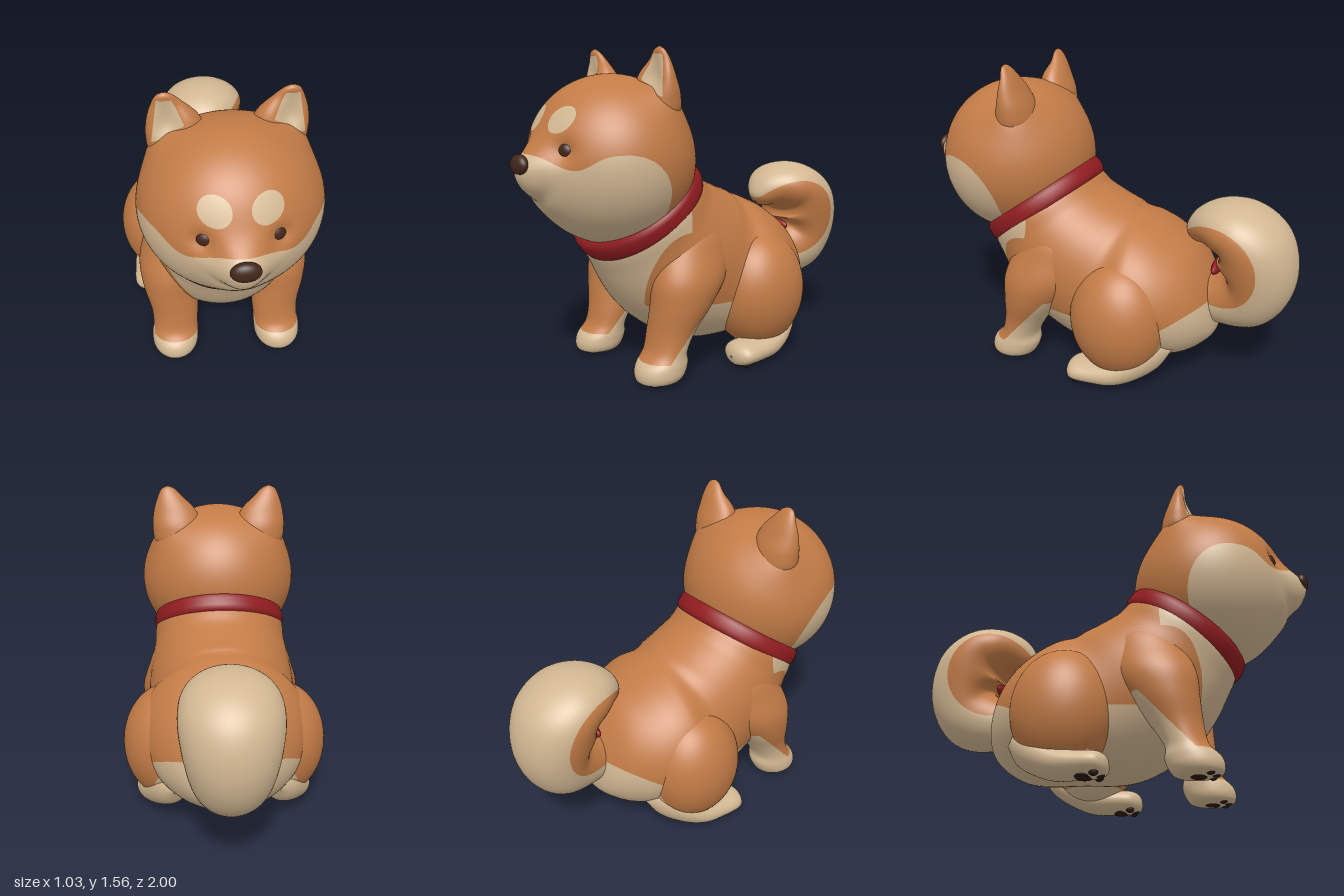
import * as THREE from 'three';
import { mergeVertices } from 'three/addons/utils/BufferGeometryUtils.js';

const flat = (name, color) => {
  const m = new THREE.MeshStandardMaterial({ color });
  m.name = name;
  return m;
};
const gauss = (...d) => Math.exp(-d.reduce((s, v) => s + v * v, 0));

// Smooth skin through elliptical sections [x, y, z, radiusX, radiusUp, lean in degrees]
function loft(sections, steps = 64, sides = 56) {
  const spline = (f) => new THREE.CatmullRomCurve3(sections.map(f), false, 'catmullrom', 0.5);
  const centre = spline((s) => new THREE.Vector3(s[0], s[1], s[2]));
  const size = spline((s) => new THREE.Vector3(s[3], s[4], THREE.MathUtils.degToRad(s[5])));
  const pos = [], index = [];
  for (let i = 0; i <= steps; i++) {
    const c = centre.getPoint(i / steps), r = size.getPoint(i / steps);
    const rx = Math.max(r.x, 0.002), ry = Math.max(r.y, 0.002);
    for (let j = 0; j < sides; j++) {
      const a = (j / sides) * Math.PI * 2, v = ry * Math.sin(a);
      pos.push(c.x + rx * Math.cos(a), c.y + v * Math.cos(r.z), c.z - v * Math.sin(r.z));
      if (i === steps) continue;
      const k = (j + 1) % sides, p = i * sides, q = p + sides;
      index.push(p + j, q + j, p + k, p + k, q + j, q + k);
    }
  }
  const g = new THREE.BufferGeometry();
  g.setAttribute('position', new THREE.Float32BufferAttribute(pos, 3));
  g.setIndex(index);
  g.computeVertexNormals();
  return g;
}

// Seamless ellipsoid
function ellipsoid(x, y, z, rx, ry, rz, w = 40, h = 28) {
  const g = new THREE.SphereGeometry(1, w, h);
  g.deleteAttribute('uv');
  g.deleteAttribute('normal');
  const m = mergeVertices(g, 1e-5);
  m.scale(rx, ry, rz).translate(x, y, z);
  m.computeVertexNormals();
  return m;
}

// Move vertices by a rule
function reshape(g, rule) {
  const p = g.attributes.position, v = new THREE.Vector3();
  for (let i = 0; i < p.count; i++) {
    rule(v.fromBufferAttribute(p, i));
    p.setXYZ(i, v.x, v.y, v.z);
  }
  g.computeVertexNormals();
  return g;
}

// Split a surface along field = 0: negative side is group 0, positive side is group 1
function split(g, field) {
  const P = g.attributes.position, N = g.attributes.normal, I = g.index;
  const pos = [], nor = [], out = new THREE.BufferGeometry();
  const verts = [];
  for (let i = 0; i < P.count; i++) {
    const p = new THREE.Vector3().fromBufferAttribute(P, i);
    verts.push({ p, n: new THREE.Vector3().fromBufferAttribute(N, i), f: field(Math.abs(p.x), p.y, p.z) || 1e-9 });
  }
  [-1, 1].forEach((sign, group) => {
    const start = pos.length / 3;
    for (let i = 0; i < I.count; i += 3) {
      const poly = [];
      for (let k = 0; k < 3; k++) {
        const a = verts[I.getX(i + k)], b = verts[I.getX(i + ((k + 1) % 3))];
        if (a.f * sign > 0) poly.push(a);
        if (a.f * b.f < 0) {
          const t = a.f / (a.f - b.f);
          poly.push({ p: a.p.clone().lerp(b.p, t), n: a.n.clone().lerp(b.n, t).normalize() });
        }
      }
      for (let k = 1; k + 1 < poly.length; k++)
        for (const v of [poly[0], poly[k], poly[k + 1]]) {
          pos.push(v.p.x, v.p.y, v.p.z);
          nor.push(v.n.x, v.n.y, v.n.z);
        }
    }
    out.addGroup(start, pos.length / 3 - start, group);
  });
  out.setAttribute('position', new THREE.Float32BufferAttribute(pos, 3));
  out.setAttribute('normal', new THREE.Float32BufferAttribute(nor, 3));
  return out;
}

export function createModel() {
  const model = new THREE.Group();
  model.name = 'dog';
  const fur = flat('orange fur', 0xc27b46), cream = flat('cream fur', 0xd2b792);
  const red = flat('red collar', 0x921c20), brown = flat('dark brown', 0x43271b), pad = flat('paw pad', 0x2c1813);
  const add = (name, geometry, material) => {
    const m = new THREE.Mesh(geometry, material);
    m.name = name;
    model.add(m);
    return m;
  };
  const addFur = (name, geometry, field) => add(name, split(geometry, field), [fur, cream]);

  // Body from neck to rump, cream on chest, belly and rump
  addFur('body', loft([
    [0, 0.83, 0.37, 0.05, 0.05, 54], [0, 0.82, 0.365, 0.32, 0.29, 54], [0, 0.70, 0.28, 0.36, 0.35, 52],
    [0, 0.56, 0.14, 0.385, 0.40, 42], [0, 0.46, -0.03, 0.39, 0.40, 22], [0, 0.445, -0.22, 0.43, 0.36, 5],
    [0, 0.43, -0.4, 0.38, 0.33, -8], [0, 0.43, -0.53, 0.265, 0.25, -12], [0, 0.41, -0.595, 0.14, 0.14, -12],
    [0, 0.41, -0.615, 0.004, 0.004, -12],
  ], 80, 72), (x, y, z) => Math.max(
    Math.min(0.13 + 0.52 * (y - 0.28) - x, z - 0.29),
    0.34 + 0.1 * THREE.MathUtils.smoothstep(-z, 0.35, 0.6) - y));

  // Curled tail, cream on the outside of the curl, red patch in the hollow at its root
  addFur('tail', loft([
    [0, 0.42, -0.48, 0.10, 0.10, 0], [0, 0.42, -0.62, 0.13, 0.135, -5], [0, 0.46, -0.75, 0.175, 0.17, -35],
    [0, 0.58, -0.797, 0.21, 0.197, -75], [0, 0.715, -0.78, 0.232, 0.19, -115], [0, 0.797, -0.70, 0.228, 0.153, -150],
    [0, 0.812, -0.60, 0.195, 0.124, -180], [0, 0.79, -0.52, 0.13, 0.09, -205], [0, 0.75, -0.465, 0.06, 0.05, -215],
    [0, 0.735, -0.45, 0.004, 0.004, -220],
  ], 80, 56), (x, y, z) => Math.hypot(y - 0.64, z + 0.62) - 0.215);
  add('tailPatch', ellipsoid(0, 0.59, -0.602, 0.1, 0.035, 0.025, 24, 16), red);

  // Head: ellipsoid with ear roots, muzzle, eye sockets and mouth crease; cream cheeks and brow spots
  const head = reshape(ellipsoid(0, 1.04, 0.5, 0.42, 0.4, 0.39, 120, 90), (v) => {
    const x = Math.abs(v.x), y = v.y;
    const root = 0.035 * gauss((x - 0.27) / 0.12, (y - 1.32) / 0.13, (v.z - 0.37) / 0.11);
    v.x += Math.sign(v.x) * root;
    v.y += 0.8 * root;
    if (v.z < 0.6) return;
    v.z += 0.1 * gauss(x / 0.12, (y - 1.02) / (y > 1.02 ? 0.1 : 0.17))
      - 0.035 * gauss((x - 0.16) / 0.05, (y - 1.11) / 0.05)
      - 0.02 * gauss((y - 0.85 - 0.75 * Math.hypot(x, 0.03)) / 0.035, (x / 0.125) ** 2);
  });
  addFur('head', head, (x, y, z) => {
    const cheek = z > 0.66 ? 1.1 - 0.067 * gauss((z - 0.83) / 0.07) - y
      : 0.25 - 0.25 * Math.hypot((z - 0.66) / 0.23, (y - 0.85) / 0.25);
    const brow = z > 0.6 ? 0.069 - Math.hypot(x - 0.107, (y - 1.243) * 1.18) : -1;
    return Math.max(cheek, brow);
  });
  add('nose', ellipsoid(0, 1.048, 0.968, 0.065, 0.048, 0.033), brown);

  // Collar: rounded band tilted down to the front
  const band = [[0.285, -0.055], [0.318, -0.055], [0.337, -0.044], [0.345, -0.02], [0.345, 0.02], [0.337, 0.044],
    [0.318, 0.055], [0.285, 0.055], [0.285, -0.055]];
  const collar = add('collar', new THREE.LatheGeometry(band.map(([r, y]) => new THREE.Vector2(r, y)), 72), red);
  collar.position.set(0, 0.81, 0.357);
  collar.rotation.x = THREE.MathUtils.degToRad(37);
  collar.scale.x = 1.035;

  for (const [side, s] of [['left', 1], ['right', -1]]) {
    // Eye
    const eye = add(side + 'Eye', ellipsoid(0, 0, 0, 0.041, 0.037, 0.027), brown);
    eye.position.set(s * 0.146, 1.11, 0.82);
    eye.rotation.y = s * 0.3;

    // Ear with a hollow cream front
    const ear = loft([
      [s * 0.27, 1.558, 0.412, 0.004, 0.004, 90], [s * 0.268, 1.542, 0.41, 0.036, 0.02, 90],
      [s * 0.2575, 1.5, 0.402, 0.068, 0.038, 90], [s * 0.235, 1.43, 0.40, 0.112, 0.068, 90],
      [s * 0.222, 1.34, 0.39, 0.133, 0.092, 90], [s * 0.215, 1.25, 0.39, 0.12, 0.09, 90],
      [s * 0.2, 1.15, 0.42, 0.03, 0.03, 90],
    ], 56, 48);
    reshape(ear, (v) => {
      if (v.z > 0.405) v.z -= Math.min(0.045 * gauss((Math.abs(v.x) - 0.26) / 0.06, (v.y - 1.42) / 0.08), 0.8 * (v.z - 0.405));
    });
    addFur(side + 'Ear', ear, (x, y, z) => Math.min(
      x - 0.19 - 0.45 * (y - 1.415), 0.332 - x - 0.16 * (y - 1.34),
      y - 1.335 - 0.57 * (0.33 - x), 1.525 - y, z - 0.406));

    // Front leg, cream on the paw and up the back
    addFur(side + 'FrontLeg', loft([
      [s * 0.2, 0.84, 0.16, 0.03, 0.04, 90], [s * 0.235, 0.72, 0.18, 0.115, 0.16, 90],
      [s * 0.262, 0.6, 0.215, 0.135, 0.19, 90], [s * 0.283, 0.48, 0.255, 0.147, 0.192, 90],
      [s * 0.28, 0.36, 0.3, 0.14, 0.155, 90],
      [s * 0.265, 0.24, 0.35, 0.123, 0.115, 90], [s * 0.265, 0.15, 0.385, 0.116, 0.1, 90],
      [s * 0.27, 0.09, 0.41, 0.12, 0.127, 90], [s * 0.272, 0.04, 0.425, 0.115, 0.122, 90],
      [s * 0.272, 0.012, 0.43, 0.085, 0.095, 90], [s * 0.272, 0.005, 0.43, 0.004, 0.004, 90],
    ]), (x, y, z) => Math.max(0.115 - y, Math.min(0.155 + 1.1 * (0.4 - z), 0.39) - y));

    // Haunch and hind paw
    addFur(side + 'Haunch', ellipsoid(s * 0.285, 0.355, -0.19, 0.23, 0.3, 0.25, 72, 56),
      (x, y, z) => Math.max(0.115 - y, -0.36 - 0.45 * (y - 0.13) - z));
    add(side + 'HindPaw', loft([
      [s * 0.37, 0.06, 0.055, 0.004, 0.004, 0], [s * 0.37, 0.06, 0.04, 0.06, 0.04, 0],
      [s * 0.367, 0.065, 0, 0.098, 0.058, 0], [s * 0.36, 0.07, -0.1, 0.105, 0.064, 0],
      [s * 0.35, 0.085, -0.2, 0.105, 0.075, 0], [s * 0.325, 0.13, -0.3, 0.1, 0.085, 0],
      [s * 0.28, 0.19, -0.4, 0.08, 0.08, 0], [s * 0.26, 0.21, -0.46, 0.004, 0.004, 0],
    ]), cream);

    // Paw pads: one large and three toes under each foot
    for (const [name, x, z] of [['Front', 0.272, 0.43], ['Hind', 0.367, -0.06]]) {
      add(side + name + 'Pad', ellipsoid(s * x, 0.015, z, 0.055, 0.015, 0.045, 20, 12), pad);
      for (const t of [-1, 0, 1])
        add(side + name + 'ToePad', ellipsoid(s * x + t * 0.05, 0.022, z + 0.075 - 0.018 * t * t, 0.02, 0.021, 0.022, 16, 10), pad);
    }
  }
  return model;
}
